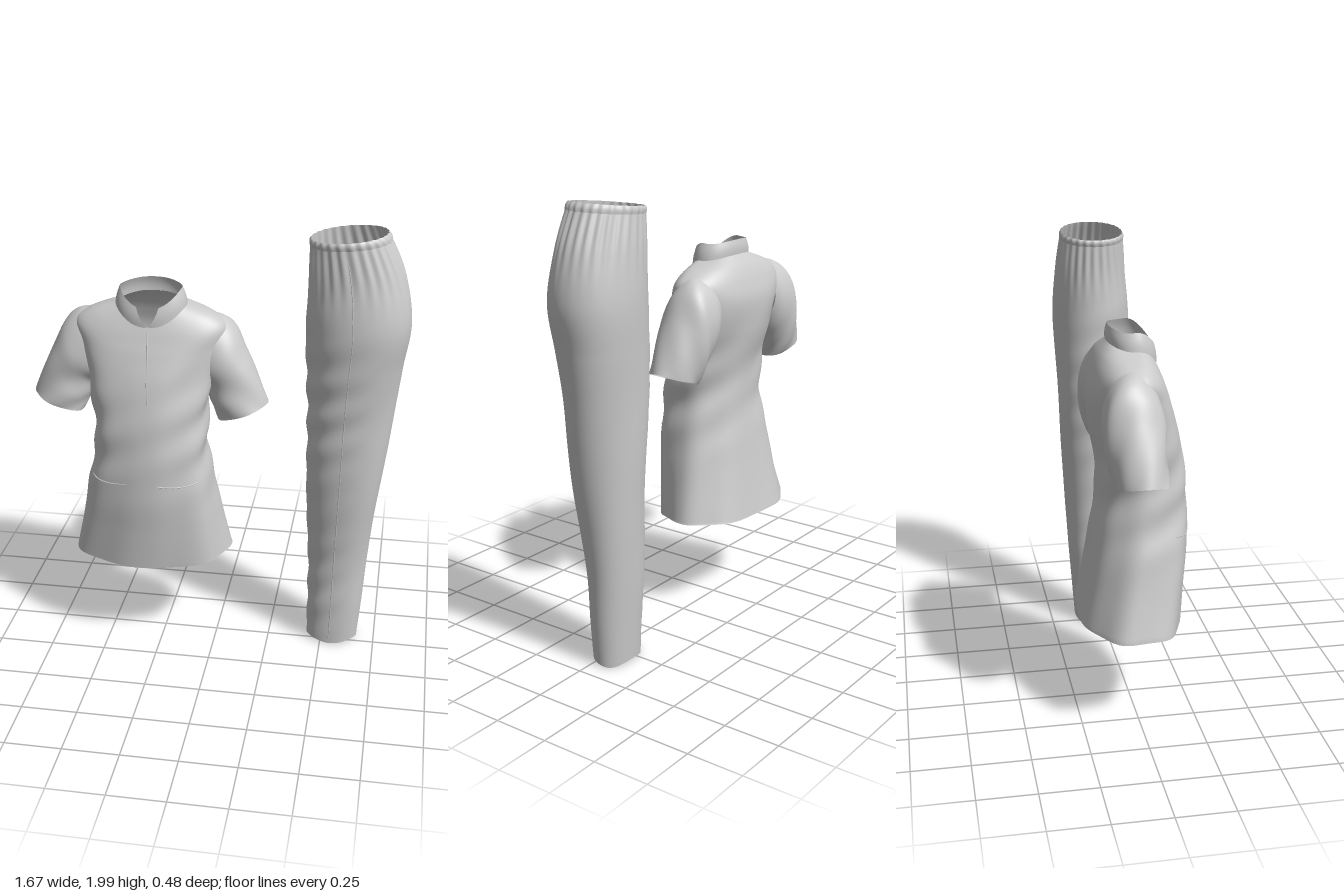
import * as THREE from 'three';
import { mergeVertices } from 'three/addons/utils/BufferGeometryUtils.js';
import { ParametricGeometry } from 'three/addons/geometries/ParametricGeometry.js';

const cloth = new THREE.MeshStandardMaterial({ color: 0xcccccc, roughness: 0.9, side: THREE.DoubleSide });
const { sin, cos, abs, sign, pow, max, exp, PI } = Math;

// Smooth interpolation through rows of numbers, t in 0..1
function sample(rows, t) {
  const f = t * (rows.length - 1), i = Math.min(Math.floor(f), rows.length - 2), k = f - i;
  const row = (j) => rows[Math.min(Math.max(j, 0), rows.length - 1)];
  const [a, b, c, d] = [row(i - 1), row(i), row(i + 1), row(i + 2)];
  return b.map((q, n) => q + 0.5 * k * (c[n] - a[n] + k * (2 * a[n] - 5 * q + 4 * c[n] - d[n]
    + k * (3 * (q - c[n]) + d[n] - a[n]))));
}

// Mesh from a rule (u, v) -> point, welded so the normals run smoothly over the seam
function sheet(name, rule, nu, nv) {
  let geo = new ParametricGeometry((u, v, p) => p.set(...rule(u, v)), nu, nv);
  geo.deleteAttribute('uv');
  geo.deleteAttribute('normal');
  geo = mergeVertices(geo, 1e-5);
  geo.computeVertexNormals();
  const mesh = new THREE.Mesh(geo, cloth);
  mesh.name = name;
  return mesh;
}

function seam(name, points, radius) {
  const curve = new THREE.CatmullRomCurve3(points.map((p) => new THREE.Vector3(...p)));
  const mesh = new THREE.Mesh(new THREE.TubeGeometry(curve, 40, radius, 6), cloth);
  mesh.name = name;
  return mesh;
}

const roundPow = (c, n) => sign(c) * pow(abs(c), 2 / n);
const bump = (x, at, width) => exp(-(((x - at) / width) ** 2));

// Tunic body rings: y, centre x, half width, front z, back z, front drop, back rise
const BODY = [
  [0.46, -0.305, 0.365, 0.205, -0.24, 0.022, 0],
  [0.62, -0.300, 0.328, 0.222, -0.21, 0, 0],
  [0.80, -0.297, 0.293, 0.238, -0.18, 0, 0],
  [1.00, -0.290, 0.255, 0.235, -0.15, 0, 0],
  [1.18, -0.293, 0.260, 0.217, -0.155, 0, 0],
  [1.34, -0.295, 0.285, 0.185, -0.185, 0.01, 0],
  [1.47, -0.295, 0.322, 0.150, -0.195, 0.03, 0],
  [1.555, -0.295, 0.335, 0.125, -0.175, 0.05, 0],
  [1.61, -0.292, 0.270, 0.112, -0.145, 0.07, 0.01],
  [1.65, -0.287, 0.155, 0.100, -0.105, 0.08, 0.02],
];

function bodyPoint(u, v, grow = 0) {
  const a = -2 * PI * u, [y, cx, hx, zf, zb, drop, rise] = sample(BODY, v);
  const c = cos(a), s = sin(a), n = 2.25;
  // soft drapes: flutes at the hem, slanting folds around the waist
  const fold = 0.006 * sin(7 * a + 1 + 3 * y) * max(0, 1 - v * 1.4)
    + 0.006 * bump(y, 1.08, 0.22) * sin(30 * y + 3 * a) * (0.4 + abs(c))
    + 0.005 * bump(y, 1.35, 0.15) * sin(6 * a + 9 * y);
  const w = 1 + (fold + grow) / 0.25;
  return [
    cx + hx * w * roundPow(c, n),
    y - (s > 0 ? drop : -rise) * s * s + (v === 0 ? 0.006 * c : 0),
    (zf + zb) / 2 + (zf - zb) / 2 * w * roundPow(s, n),
  ];
}

// Point on the tunic front at a given x and y (search over the surface rule)
function onFront(x, y) {
  let u = 0.75, v = 0.5;
  for (let i = 0; i < 60; i++) {
    const p = bodyPoint(u, v, 0.001);
    u += (x - p[0]) * 0.25;
    v = Math.min(1, max(0, v + (y - p[1]) * 0.4));
  }
  return bodyPoint(u, v, 0.001);
}

// Sleeve rings: upper edge x, y, lower edge x, y, centre z, half depth
const SLEEVE = [
  [-0.53, 1.607, -0.52, 1.30, -0.045, 0.105],
  [-0.62, 1.588, -0.535, 1.27, -0.050, 0.122],
  [-0.69, 1.535, -0.562, 1.235, -0.052, 0.127],
  [-0.742, 1.43, -0.58, 1.195, -0.048, 0.122],
  [-0.79, 1.32, -0.597, 1.155, -0.038, 0.115],
  [-0.835, 1.205, -0.612, 1.12, -0.028, 0.105],
];

function sleevePoint(u, v, side) {
  const a = 2 * PI * u * side, [tx, ty, bx, by, zc, hz] = sample(SLEEVE, v);
  const w = 1 + 0.035 * sin(3 * a + 9 * v) * sin(PI * v) + 0.025 * sin(5 * a + 14 * v) * v;
  const k = 0.5 + 0.5 * cos(a) * w;
  const x = bx + (tx - bx) * k, mid = -0.305;
  return [mid + (x - mid) * side, by + (ty - by) * k, zc + hz * w * sin(a)];
}

// Stand collar: follows the neckline, open in a V at the front
function collarPoint(u, v) {
  const gap = 0.03 + 0.3 * v, a = PI / 2 + gap + u * (2 * PI - 2 * gap);
  const c = cos(a), s = sin(a), h = 0.158 - 0.022 * v;
  const y = 1.645 - (s > 0 ? 0.078 : -0.025) * s * s;
  const bulge = 0.004 * sin(PI * v);
  return [-0.287 + (h + bulge) * roundPow(c, 2.2), y + v * (0.08 - 0.015 * max(0, -s)),
    -0.002 + (0.104 - 0.008 * v + bulge) * roundPow(s, 2.1)];
}

// Trouser rings: y, min x, max x, front z, back z
const LEG = [
  [0.015, 0.43, 0.668, 0.042, -0.130],
  [0.20, 0.428, 0.682, 0.050, -0.143],
  [0.40, 0.425, 0.695, 0.056, -0.158],
  [0.60, 0.418, 0.715, 0.075, -0.168],
  [0.80, 0.410, 0.737, 0.097, -0.175],
  [1.00, 0.402, 0.758, 0.112, -0.185],
  [1.20, 0.395, 0.780, 0.122, -0.195],
  [1.40, 0.390, 0.808, 0.138, -0.205],
  [1.60, 0.386, 0.834, 0.150, -0.208],
  [1.80, 0.390, 0.795, 0.128, -0.193],
  [1.98, 0.392, 0.712, 0.110, -0.172],
];

function legPoint(u, v, grow = 0) {
  const a = -2 * PI * u, [y, x0, x1, zf, zb] = sample(LEG, v);
  const c = cos(a), s = sin(a);
  // gathers under the waist, creases across the front of the knee and ankle
  const frontSide = max(0, -c * 0.75 + s * 0.5);
  const fold = 0.004 * sin(26 * a) * bump(y, 1.9, 0.13)
    + 0.006 * frontSide * sin(38 * y + 3 * a) * (bump(y, 1.2, 0.3) + bump(y, 0.3, 0.3))
    + 0.004 * sin(3 * a + 7 * y) * sin(PI * v);
  const w = 1 + (fold + grow) / 0.17;
  const tilt = 0.018 * c * v ** 4 + 0.008 * sin(3 * a) * pow(1 - v, 12);
  return [(x0 + x1) / 2 + (x1 - x0) / 2 * w * roundPow(c, 2.1), y + tilt,
    (zf + zb) / 2 + (zf - zb) / 2 * w * roundPow(s, 2.1)];
}

export function createModel() {
  const model = new THREE.Group();

  const tunic = new THREE.Group();
  tunic.name = 'tunic';
  tunic.add(sheet('tunicBody', (u, v) => bodyPoint(u, v), 128, 110));
  tunic.add(sheet('rightSleeve', (u, v) => sleevePoint(u, v, 1), 56, 44));
  tunic.add(sheet('leftSleeve', (u, v) => sleevePoint(u, v, -1), 56, 44));
  tunic.add(sheet('collar', collarPoint, 80, 8));

  // front slit and pocket openings sewn onto the surface
  const line = (n, fn) => Array.from({ length: n }, (_, i) => onFront(...fn(i / (n - 1))));
  tunic.add(seam('placket', line(12, (t) => [-0.285 + 0.012 * t, 1.55 - 0.3 * t]), 0.0035));
  for (const [name, x0, x1] of [['rightPocketEdge', -0.54, -0.37], ['leftPocketEdge', -0.23, -0.06]]) {
    tunic.add(seam(name, line(10, (t) => [x0 + (x1 - x0) * t, 0.875 - 0.01 * sin(PI * t)]), 0.003));
  }

  const trousers = new THREE.Group();
  trousers.name = 'trousers';
  trousers.add(sheet('trouserLeg', (u, v) => legPoint(u, v), 156, 150));
  // elastic waistband, rounded over the top edge
  trousers.add(sheet('waistband',
    (u, v) => legPoint(u, 0.975 + 0.025 * v, 0.005 * sin(PI * v)), 156, 6));
  // seam down the side of the leg
  trousers.add(seam('sideSeam',
    Array.from({ length: 24 }, (_, i) => legPoint(0.74, 0.02 + 0.92 * i / 23, -0.001)), 0.003));

  model.add(tunic, trousers);
  return model;
}
